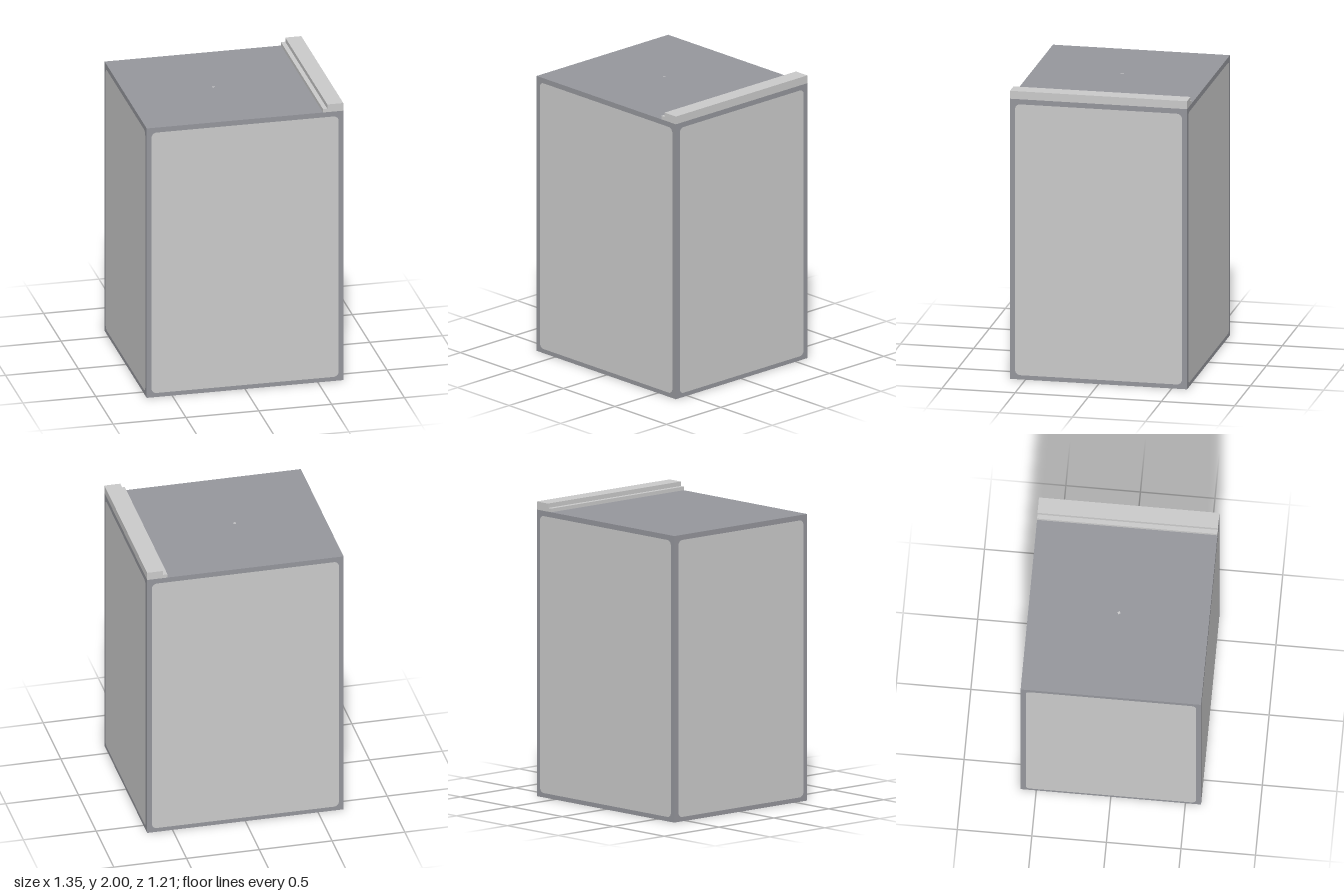
import * as THREE from 'three';

const light = new THREE.MeshStandardMaterial({ color: 0xcacaca });
light.name = 'light grey';
const dark = new THREE.MeshStandardMaterial({ color: 0x95969c });
dark.name = 'slate grey';

const W = 0.675, D = 0.605, TOP = 1.945;

function box(name, material, x0, x1, y0, y1, z0, z1) {
  const mesh = new THREE.Mesh(new THREE.BoxGeometry(x1 - x0, y1 - y0, z1 - z0), material);
  mesh.position.set((x0 + x1) / 2, (y0 + y1) / 2, (z0 + z1) / 2);
  mesh.name = name;
  return mesh;
}

// Flat rounded rectangle centred on the origin, facing +z
function roundedPanel(name, w, h, r) {
  const s = new THREE.Shape();
  const x = w / 2 - r, y = h / 2 - r;
  s.absarc(x, y, r, 0, Math.PI / 2);
  s.absarc(-x, y, r, Math.PI / 2, Math.PI);
  s.absarc(-x, -y, r, Math.PI, Math.PI * 1.5);
  s.absarc(x, -y, r, Math.PI * 1.5, Math.PI * 2);
  const mesh = new THREE.Mesh(new THREE.ShapeGeometry(s, 6), light);
  mesh.name = name;
  return mesh;
}

export function createModel() {
  const model = new THREE.Group();
  model.name = 'cabinet';

  // Cabinet body: slate frame and top, light underside
  model.add(box('body', [dark, dark, dark, light, dark, dark], -W, W, 0, TOP, -D, D));

  // Inset panels on the four sides
  const sides = [
    ['frontPanel', 0, D, 1.285], ['leftPanel', Math.PI / 2, W, 1.14],
    ['backPanel', Math.PI, D, 1.285], ['rightPanel', -Math.PI / 2, W, 1.14],
  ];
  for (const [name, turn, dist, width] of sides) {
    const panel = roundedPanel(name, width, 1.88, 0.035);
    const out = dist + 0.0015;
    panel.rotation.y = turn;
    panel.position.set(Math.sin(turn) * out, 0.97, Math.cos(turn) * out);
    model.add(panel);
  }

  // Small light diamond on the top
  const mark = new THREE.Mesh(new THREE.CircleGeometry(0.012, 4), light);
  mark.name = 'topMark';
  mark.rotation.x = -Math.PI / 2;
  mark.position.set(-0.073, TOP + 0.0015, 0);
  model.add(mark);

  // Stepped rail along the left edge
  model.add(box('railStep', light, 0.535, 0.565, TOP, 1.97, -D, D));
  model.add(box('rail', light, 0.565, W, TOP, 2, -D, D));

  return model;
}
